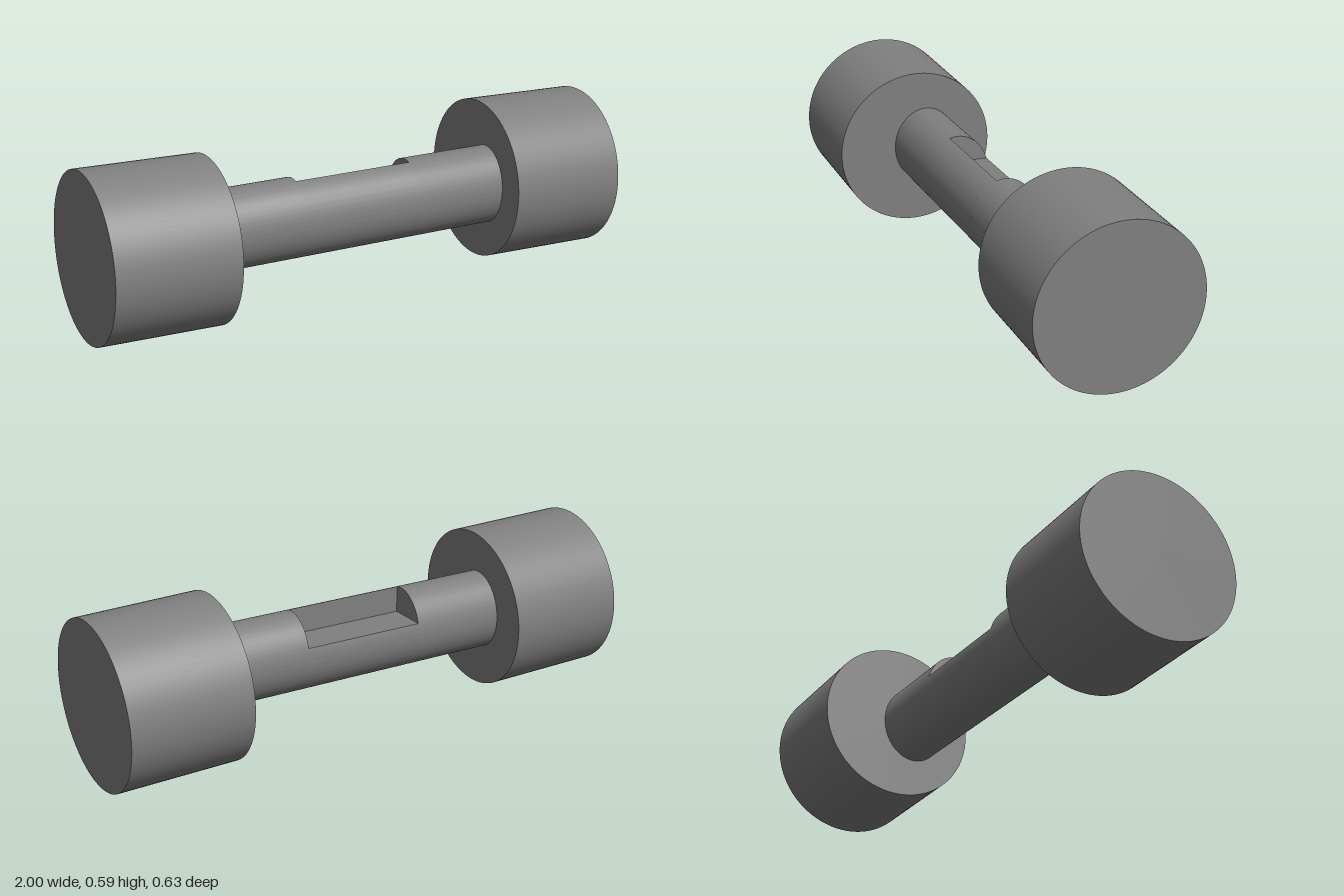
import * as THREE from 'three';
import { toCreasedNormals } from 'three/addons/utils/BufferGeometryUtils.js';

const YAW = -0.048;
const A = 0.119, B = 0.142; // half depth and half height of the oval bar

export function createModel() {
  const model = new THREE.Group();
  model.name = 'dumbbell';
  const grey = new THREE.MeshStandardMaterial({ color: 0x808080 });
  grey.name = 'grey';

  // Two slightly tilted round weights
  const weightGeo = new THREE.CylinderGeometry(0.289, 0.289, 0.43, 96);
  weightGeo.rotateZ(-Math.PI / 2);
  for (const side of [-1, 1]) {
    const weight = new THREE.Mesh(weightGeo, grey);
    weight.name = side > 0 ? 'leftWeight' : 'rightWeight';
    weight.position.set(side * 0.77, 0.295, side * -0.015);
    weight.rotation.set(0, YAW, -0.023);
    model.add(weight);
  }

  // Bar: oval ends with a notched middle
  const bar = new THREE.Group();
  bar.name = 'bar';
  bar.position.set(0, 0.297, 0.0135);
  bar.rotation.y = YAW;
  model.add(bar);

  const oval = new THREE.Shape();
  oval.absellipse(0, 0, A, B, 0, Math.PI * 2, false);

  // Oval with its upper back corner cut away by a wall and a floor
  const wall = -0.027, floor = 0.045;
  const notched = new THREE.Shape();
  notched.absellipse(0, 0, A, B, Math.acos(wall / A), Math.asin(floor / B) + Math.PI * 2, false);
  notched.lineTo(wall, floor);
  notched.closePath();

  const addSection = (name, shape, x0, x1) => {
    const geo = new THREE.ExtrudeGeometry(shape, { depth: x1 - x0, bevelEnabled: false, curveSegments: 72 });
    geo.rotateY(Math.PI / 2);
    geo.translate(x0, 0, 0);
    const mesh = new THREE.Mesh(toCreasedNormals(geo, 0.4), grey);
    mesh.name = name;
    bar.add(mesh);
  };
  addSection('barRightEnd', oval, -0.6, -0.22);
  addSection('barNotchedMiddle', notched, -0.22, 0.22);
  addSection('barLeftEnd', oval, 0.22, 0.6);

  return model;
}
